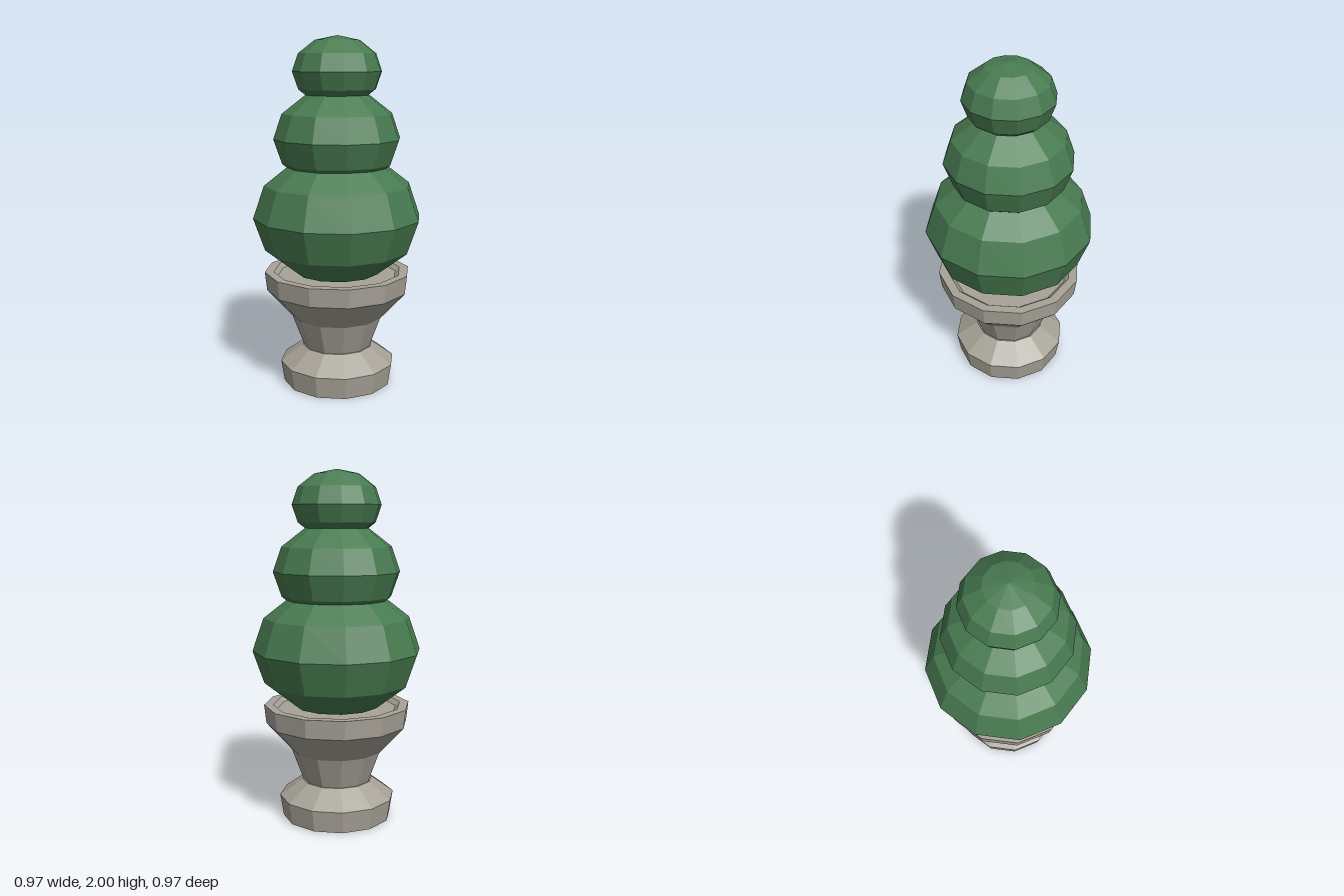
import * as THREE from 'three';

const SIDES = 12;

// Faceted look: every face gets its own normal
function faceted(geometry) {
  const flat = geometry.toNonIndexed();
  flat.computeVertexNormals();
  return flat;
}

function addMesh(parent, name, geometry, material) {
  const mesh = new THREE.Mesh(faceted(geometry), material);
  mesh.name = name;
  parent.add(mesh);
  return mesh;
}

export function createModel() {
  const model = new THREE.Group();
  model.name = 'topiaryInUrn';

  const stone = new THREE.MeshStandardMaterial({ color: 0xa8a398 });
  stone.name = 'stone';
  const leaf = new THREE.MeshStandardMaterial({ color: 0x487b51 });
  leaf.name = 'leaf green';

  // Stone urn: flared foot, narrow neck, wide bowl and a shallow dished rim
  const profile = [
    [0, 0], [0.315, 0], [0.335, 0.125], [0.205, 0.22], [0.198, 0.22],
    [0.265, 0.4], [0.41, 0.56], [0.422, 0.668], [0.37, 0.668], [0.345, 0.645], [0, 0.645],
  ].map(([r, y]) => new THREE.Vector2(r, y));
  addMesh(model, 'urn', new THREE.LatheGeometry(profile, SIDES), stone);

  // Three clipped foliage balls, stacked and slightly squashed
  const foliage = new THREE.Group();
  foliage.name = 'foliage';
  model.add(foliage);
  const balls = [
    ['lowerFoliage', 0.984, 0.483, 0.375],
    ['middleFoliage', 1.432, 0.362, 0.28],
    ['upperFoliage', 1.804, 0.253, 0.196],
  ];
  for (const [name, y, radius, halfHeight] of balls) {
    const ball = new THREE.SphereGeometry(1, SIDES, 6);
    ball.scale(radius, halfHeight, radius);
    addMesh(foliage, name, ball, leaf).position.y = y;
  }

  return model;
}
